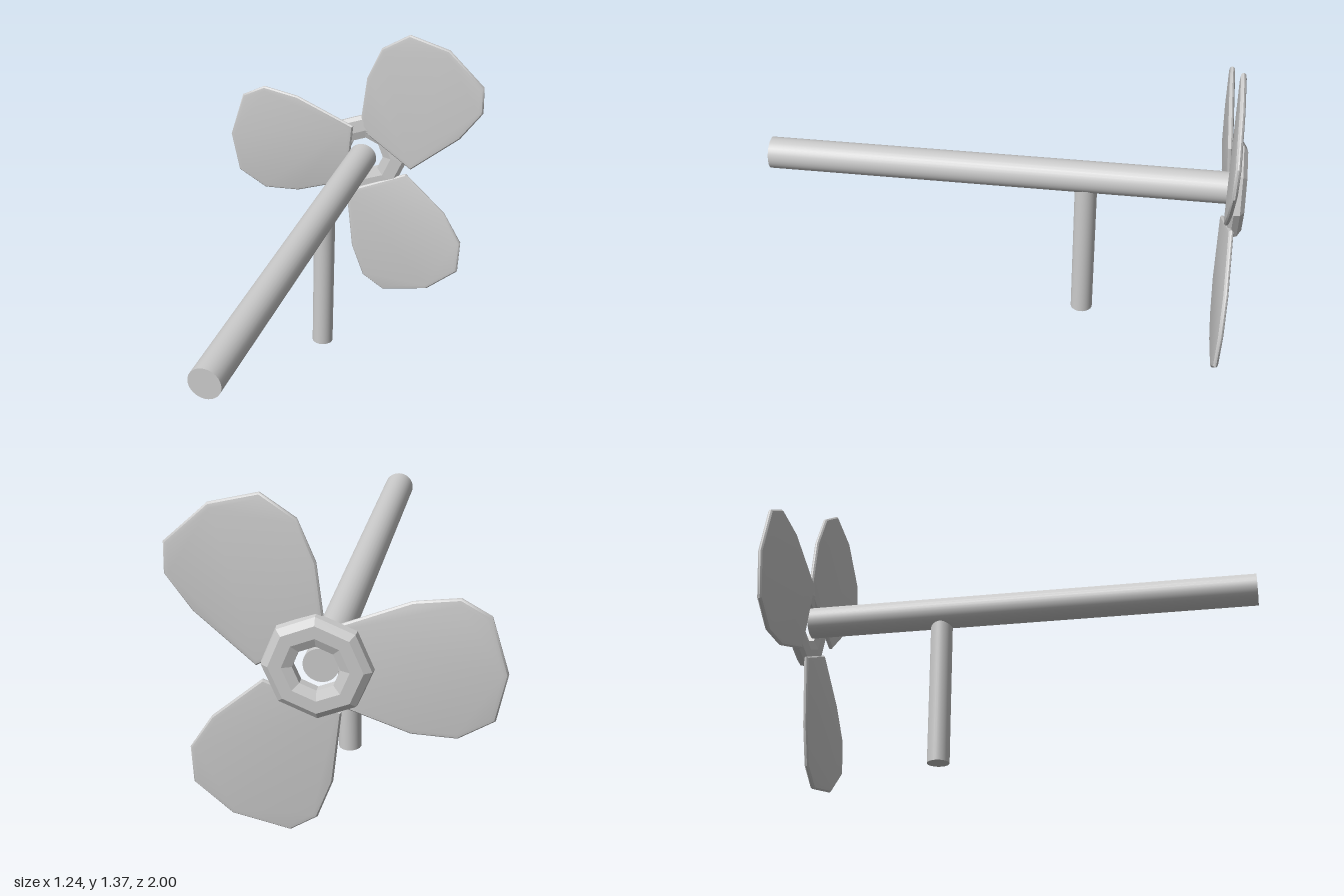
import * as THREE from 'three';
import { toCreasedNormals } from 'three/addons/utils/BufferGeometryUtils.js';

const smooth = new THREE.MeshStandardMaterial({ color: 0xcccccc });
const faceted = new THREE.MeshStandardMaterial({ color: 0xcccccc, flatShading: true });

function addPart(parent, name, geometry, material, x, y, z) {
  const mesh = new THREE.Mesh(geometry, material);
  mesh.name = name;
  mesh.position.set(x, y, z);
  parent.add(mesh);
  return mesh;
}

// Outline of the blade that points to -x, around the turning centre
const bladeOutline = [
  [-0.09, 0.18], [-0.37, 0.295], [-0.54, 0.32], [-0.65, 0.26], [-0.715, 0.04],
  [-0.675, -0.15], [-0.54, -0.23], [-0.37, -0.22], [-0.12, -0.13],
];

function bladeGeometry() {
  const shape = new THREE.Shape(bladeOutline.map(([x, y]) => new THREE.Vector2(x, y)));
  const geo = new THREE.ExtrudeGeometry(shape, {
    depth: 0.006, bevelThickness: 0.009, bevelSize: 0.02, bevelOffset: -0.02, bevelSegments: 2,
  });
  geo.translate(0, 0, -0.003);
  // Pitch the root and let it settle back into the hub; the tip stays flat
  const p = geo.attributes.position;
  for (let i = 0; i < p.count; i++) {
    const root = THREE.MathUtils.clamp((0.715 + p.getX(i)) / 0.6, 0, 1);
    p.setZ(i, p.getZ(i) - 0.012 * root + 0.08 * root * p.getY(i));
  }
  return toCreasedNormals(geo, 0.6);
}

export function createModel() {
  const model = new THREE.Group();
  model.name = 'propellerOnShaft';

  // Long horizontal shaft and its upright post
  const shaft = new THREE.CylinderGeometry(0.067, 0.067, 1.94, 32).rotateX(Math.PI / 2);
  addPart(model, 'shaft', shaft, smooth, 0.06, 0.703, 0.03);
  addPart(model, 'post', new THREE.CylinderGeometry(0.047, 0.047, 0.645, 32), smooth, 0.065, 0.3475, -0.352);

  // Eight-sided bevelled hub ring with an open centre
  const profile = [
    [0.13, 0], [0.19, 0.003], [0.208, 0.017], [0.203, 0.042], [0.175, 0.06],
    [0.125, 0.06], [0.088, 0.045], [0.088, 0.012], [0.13, 0],
  ].map(([r, y]) => new THREE.Vector2(r, y));
  const hub = new THREE.LatheGeometry(profile, 8).rotateX(-Math.PI / 2);
  addPart(model, 'hub', hub, faceted, 0.068, 0.712, -0.94);

  // Three blades around the hub
  const blades = new THREE.Group();
  blades.name = 'blades';
  blades.position.set(0.1, 0.68, -0.933);
  model.add(blades);
  const geo = bladeGeometry();
  [['leftwardBlade', 0], ['upperBlade', -116.3], ['lowerBlade', 119.3]].forEach(([name, angle]) => {
    addPart(blades, name, geo, smooth, 0, 0, 0).rotation.z = THREE.MathUtils.degToRad(angle);
  });

  return model;
}
